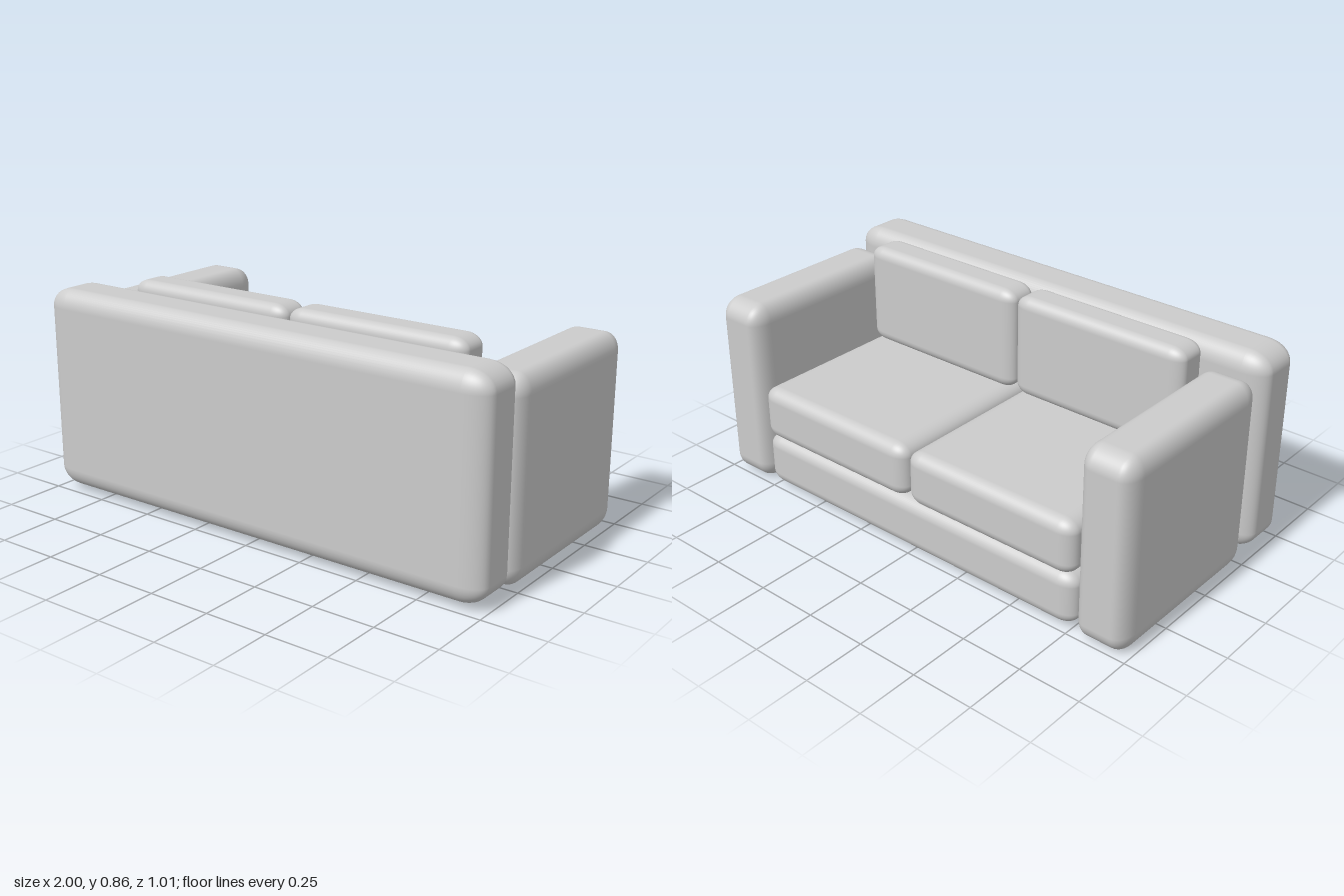
import * as THREE from 'three';
import { RoundedBoxGeometry } from 'three/addons/geometries/RoundedBoxGeometry.js';

const material = new THREE.MeshStandardMaterial({ color: 0xcccccc });

// Padded block between two corners, with its own rounding along each axis
function pad(name, min, max, [rx, ry, rz]) {
  const [w, h, d] = max.map((v, i) => v - min[i]);
  const geometry = new RoundedBoxGeometry(w / rx, h / ry, d / rz, 5, 1);
  geometry.scale(rx, ry, rz);
  const mesh = new THREE.Mesh(geometry, material);
  mesh.name = name;
  mesh.position.set(...max.map((v, i) => (v + min[i]) / 2));
  return mesh;
}

export function createModel() {
  const sofa = new THREE.Group();
  sofa.name = 'sofa';

  // Full-width backrest at +z; the seat opens towards -z
  sofa.add(pad('backrest', [-1, 0.02, 0.28], [1, 0.835, 0.505], [0.1, 0.075, 0.06]));

  // Base under the cushions
  sofa.add(pad('base', [-0.775, 0.02, -0.5], [0.775, 0.235, 0.28], [0.07, 0.05, 0.05]));

  for (const side of [1, -1]) {
    const label = side > 0 ? 'left' : 'right';
    const between = (a, b) => (side > 0 ? [a, b] : [-b, -a]);

    // Armrest
    const [a0, a1] = between(0.775, 0.99);
    sofa.add(pad(label + 'Armrest', [a0, 0, -0.505], [a1, 0.768, 0.275], [0.055, 0.075, 0.08]));

    // Seat cushion
    const [s0, s1] = between(0.003, 0.768);
    sofa.add(pad(label + 'SeatCushion', [s0, 0.23, -0.507], [s1, 0.45, 0.26], [0.065, 0.05, 0.05]));

    // Back cushion resting on the seat
    const [b0, b1] = between(0.003, 0.765);
    sofa.add(pad(label + 'BackCushion', [b0, 0.44, 0.11], [b1, 0.855, 0.26], [0.065, 0.045, 0.04]));
  }
  return sofa;
}
